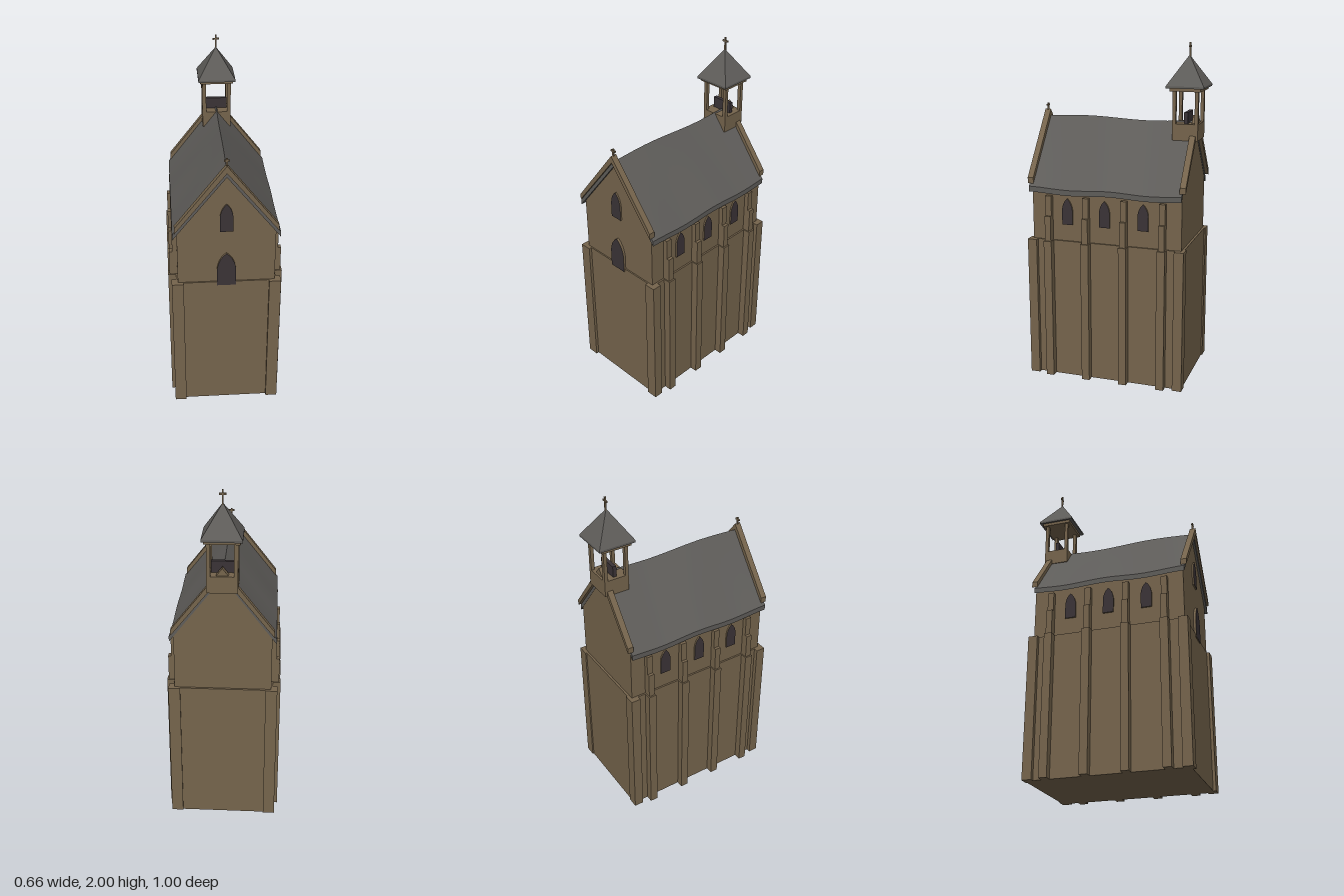
import * as THREE from 'three';
import { toCreasedNormals } from 'three/addons/utils/BufferGeometryUtils.js';

export function createModel() {
  const model = new THREE.Group();
  model.name = 'chapel';
  const mat = (name, color) => {
    const m = new THREE.MeshStandardMaterial({ color });
    m.name = name;
    return m;
  };
  const stone = mat('stone', 0x75644c);
  const slate = mat('slate', 0x5e5c59);
  const dark = mat('dark glass', 0x3a3336);

  const add = (name, geometry, material, parent = model) => {
    const mesh = new THREE.Mesh(geometry, material);
    mesh.name = name;
    parent.add(mesh);
    return mesh;
  };
  // Box given by its limits on each axis
  const box = (name, x0, x1, y0, y1, z0, z1, material = stone, parent = model) => {
    const mesh = add(name, new THREE.BoxGeometry(x1 - x0, y1 - y0, z1 - z0), material, parent);
    mesh.position.set((x0 + x1) / 2, (y0 + y1) / 2, (z0 + z1) / 2);
    return mesh;
  };
  // Outline in x and y, extruded from z0 to z1
  const prism = (name, points, z0, z1, material = stone) => {
    const shape = new THREE.Shape(points.map(([x, y]) => new THREE.Vector2(x, y)));
    const geometry = new THREE.ExtrudeGeometry(shape, { depth: z1 - z0, bevelEnabled: false });
    return add(name, geometry.translate(0, 0, z0), material);
  };

  // Walls: thicker lower storey and gabled upper storey
  const pitch = 1.28;
  box('lowerWalls', -0.285, 0.285, 0, 0.85, -0.445, 0.483);
  const eave = 1.53 - 0.275 * pitch;
  prism('upperWalls', [[-0.275, 0.8], [0.275, 0.8], [0.275, eave], [0, 1.53], [-0.275, eave]], -0.432, 0.475);

  // Corner piers and stepped side buttresses
  for (const s of [-1, 1]) {
    const sideBox = (name, inner, outer, ...rest) =>
      box(name, Math.min(s * inner, s * outer), Math.max(s * inner, s * outer), ...rest);
    sideBox('frontCornerPier', 0.243, 0.31, 0, 0.85, 0.444, 0.5);
    sideBox('backCornerPier', 0.243, 0.31, 0, 0.85, -0.453, -0.397);
    for (const z of [0.367, 0.137, -0.094, -0.324]) {
      sideBox('buttressBase', 0.25, 0.328, 0, 0.85, z - 0.024, z + 0.024);
      sideBox('buttressMiddle', 0.25, 0.319, 0.85, 1.0, z - 0.018, z + 0.018);
      sideBox('buttressTop', 0.25, 0.302, 1.0, 1.12, z - 0.018, z + 0.018);
    }
  }

  // Pointed arch windows: dark face with stone edges
  const archWindow = (name, halfWidth, height, spring, depth) => {
    const shape = new THREE.Shape();
    shape.moveTo(-halfWidth, 0);
    shape.lineTo(halfWidth, 0);
    shape.lineTo(halfWidth, spring);
    shape.quadraticCurveTo(halfWidth * 0.85, (spring + height * 2) / 3, 0, height);
    shape.quadraticCurveTo(-halfWidth * 0.85, (spring + height * 2) / 3, -halfWidth, spring);
    const geometry = new THREE.ExtrudeGeometry(shape, { depth, bevelEnabled: false, curveSegments: 5 });
    return add(name, geometry, [dark, stone]);
  };
  archWindow('frontLowerWindow', 0.053, 0.21, 0.11, 0.014).position.set(0, 0.83, 0.475);
  archWindow('frontUpperWindow', 0.037, 0.17, 0.09, 0.009).position.set(0, 1.18, 0.475);
  for (const s of [-1, 1]) {
    for (const z of [0.256, 0.027, -0.206]) {
      const w = archWindow('sideWindow', 0.032, 0.157, 0.09, 0.009);
      w.position.set(s * 0.275, 0.95, z);
      w.rotation.y = s * Math.PI / 2;
    }
  }

  // Sagging slate roof: a segmented slab bent over the ridge
  const roof = new THREE.BoxGeometry(0.6, 1, 0.922, 4, 1, 28);
  const pos = roof.attributes.position;
  for (let i = 0; i < pos.count; i++) {
    const x = pos.getX(i), z = pos.getZ(i) + 0.027;
    const k = Math.abs(x) / 0.3;
    const ridgeWave = 0.007 * Math.sin((z - 0.035) * 8.4);
    const eaveWave = 0.005 * Math.cos(z * 13) - 0.003;
    const top = 1.552 - Math.abs(x) * pitch + ridgeWave * (1 - k) + eaveWave * k;
    pos.setXYZ(i, x, pos.getY(i) > 0 ? top : top - 0.032, z);
  }
  add('roof', toCreasedNormals(roof, 0.5), slate);

  // Gable copings
  const drop = 0.288 * pitch;
  const chevron = [[-0.288, 1.553 - drop], [0, 1.545], [0.288, 1.553 - drop],
    [0.288, 1.588 - drop], [0, 1.588], [-0.288, 1.588 - drop]];
  prism('frontCoping', chevron, 0.465, 0.5);
  prism('backCoping', chevron, -0.455, -0.42);

  // Crosses
  const cross = (name, y, height, half, z) => {
    const t = 0.0045;
    box(name + 'Upright', -t, t, y, y + height, z - t, z + t);
    box(name + 'Bar', -half, half, y + height * 0.66, y + height * 0.66 + 2 * t, z - t, z + t);
  };
  cross('gableCross', 1.575, 0.05, 0.016, 0.482);
  cross('spireCross', 1.92, 0.08, 0.019, -0.396);

  // Bell turret with open posts, bell block and pyramid spire
  const turret = new THREE.Group();
  turret.name = 'bellTurret';
  turret.position.z = -0.393;
  model.add(turret);
  box('turretBase', -0.085, 0.085, 1.45, 1.545, -0.075, 0.075, stone, turret);
  for (const x of [-0.074, 0.074]) {
    for (const z of [-0.065, 0.065]) {
      box('turretPost', x - 0.011, x + 0.011, 1.545, 1.735, z - 0.01, z + 0.01, stone, turret);
    }
  }
  box('bellBlock', -0.064, 0.064, 1.545, 1.61, -0.011, 0.011, dark, turret);
  box('turretBeam', -0.098, 0.098, 1.73, 1.752, -0.09, 0.09, stone, turret);
  box('spireEave', -0.11, 0.11, 1.748, 1.76, -0.11, 0.11, slate, turret);
  const spire = new THREE.ConeGeometry(0.11 * Math.SQRT2, 0.17, 4).rotateY(Math.PI / 4);
  add('spire', toCreasedNormals(spire, 0.3), slate, turret).position.y = 1.845;

  return model;
}
